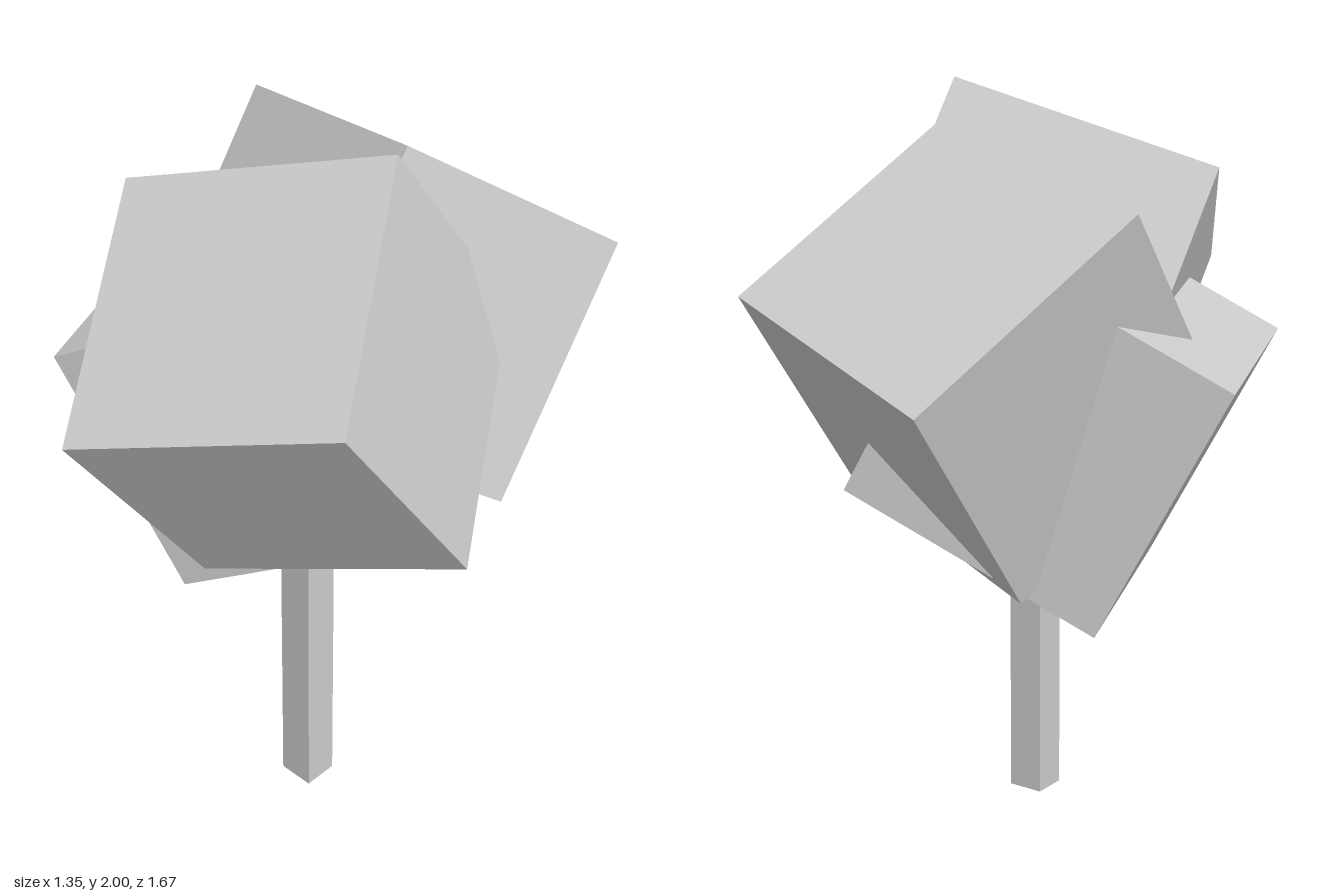
import * as THREE from 'three';

const SIDE = 0.733;

export function createModel() {
  const model = new THREE.Group();
  const material = new THREE.MeshStandardMaterial({ color: 0xcccccc, flatShading: true });

  // Tilted cube given one corner and two edge directions; the third edge is their cross product
  function addFoliage(name, corner, edgeA, edgeB) {
    const u = new THREE.Vector3(...edgeA).normalize();
    const w = new THREE.Vector3().crossVectors(u, new THREE.Vector3(...edgeB)).normalize();
    const v = new THREE.Vector3().crossVectors(w, u);
    const cube = new THREE.Mesh(new THREE.BoxGeometry(SIDE, SIDE, SIDE), material);
    cube.name = name;
    cube.quaternion.setFromRotationMatrix(new THREE.Matrix4().makeBasis(u, v, w));
    cube.position.set(...corner);
    for (const axis of [u, v, w]) cube.position.addScaledVector(axis, SIDE / 2);
    model.add(cube);
  }

  // Square trunk, its top buried in the foliage
  const trunk = new THREE.Mesh(new THREE.BoxGeometry(0.1, 0.95, 0.096), material);
  trunk.name = 'trunk';
  trunk.position.set(0.147, 0.475, 0.163);
  model.add(trunk);

  // Three interlocking foliage cubes
  addFoliage('frontFoliage', [0, 1.435, 0.835], [-0.345, 0.355, -0.545], [0.645, 0.215, -0.27]);
  addFoliage('backFoliage', [-0.225, 1.345, -0.84], [0.685, 0.17, 0.18], [-0.245, 0.42, 0.55]);
  addFoliage('lowerFoliage', [-0.675, 1.33, -0.17], [0.27, 0.003, 0.685], [0.32, -0.645, -0.115]);

  return model;
}
